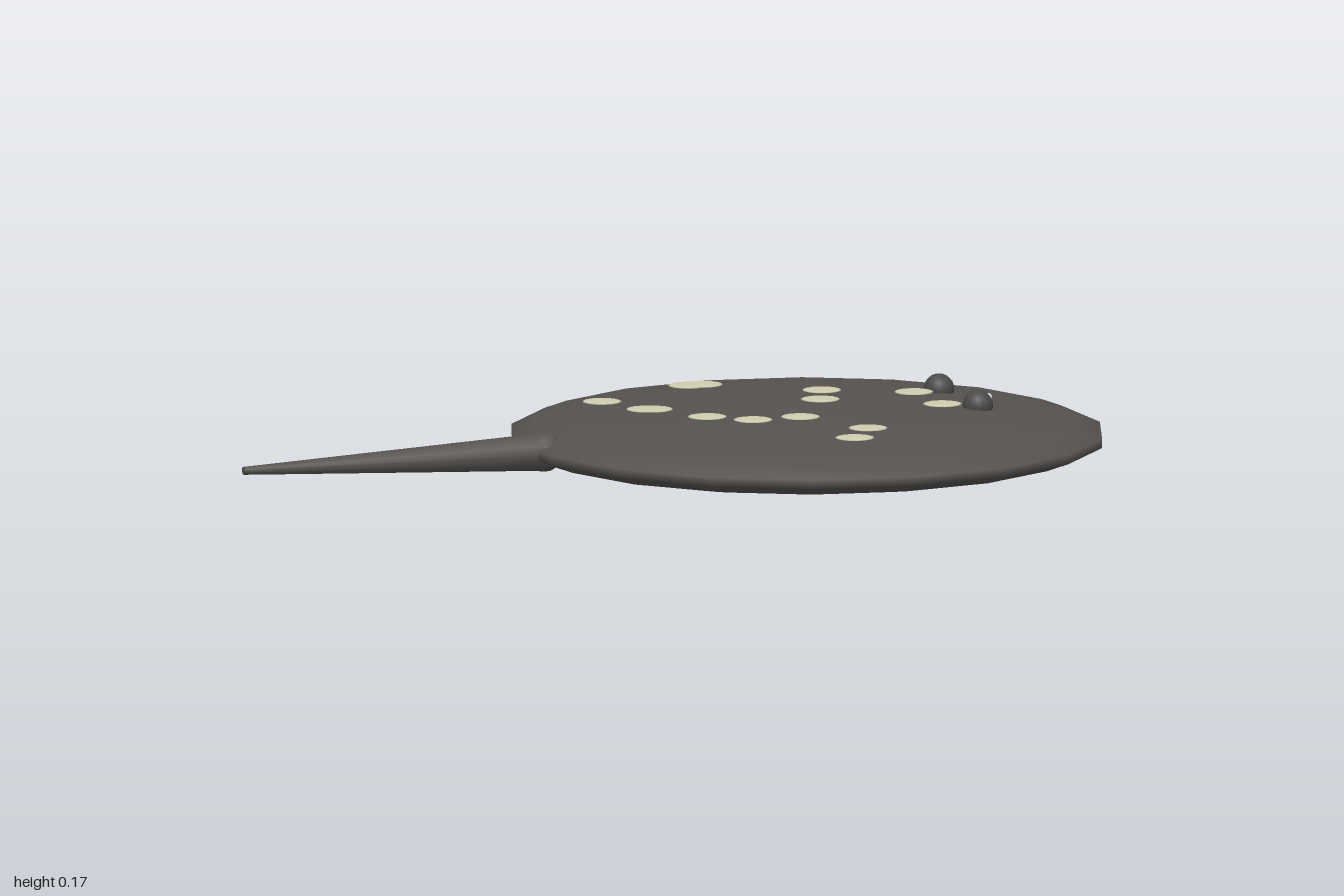
import * as THREE from 'three';

const paint = (name, color) => {
  const material = new THREE.MeshStandardMaterial({ color });
  material.name = name;
  return material;
};

export function createModel() {
  const skin = paint('dark grey skin', 0x55524f);
  const eyeGrey = paint('eye grey', 0x4a4a4a);
  const cream = paint('cream spots', 0xcfccb0);
  const white = paint('white glint', 0xf4f4ee);

  const model = new THREE.Group();
  model.name = 'flatRay';
  const add = (name, geometry, material, x, y, z) => {
    const mesh = new THREE.Mesh(geometry, material);
    mesh.name = name;
    mesh.position.set(x, y, z);
    model.add(mesh);
    return mesh;
  };

  // Flattened round body, turned so a flat side faces the tail
  const body = new THREE.SphereGeometry(1, 18, 11);
  body.rotateY(Math.PI / 2).scale(0.672, 0.0735, 0.672);
  add('body', body, skin, 0.345, 0.0735, 0);

  // Tapering tail with a rounded root
  const tail = new THREE.CylinderGeometry(0.009, 0.043, 0.72, 12);
  tail.rotateZ(Math.PI / 2);
  add('tail', tail, skin, -0.64, 0.0755, 0);
  add('tailRoot', new THREE.SphereGeometry(0.045, 12, 8), skin, -0.283, 0.0755, 0);

  // Eyes with a small glint facing forwards
  const eye = new THREE.SphereGeometry(0.034, 16, 12);
  const glint = new THREE.SphereGeometry(0.01, 8, 6);
  for (const [side, z] of [['left', -0.12], ['right', 0.12]]) {
    add(side + 'Eye', eye, eyeGrey, 0.707, 0.14, z);
    add(side + 'EyeGlint', glint, white, 0.731, 0.156, z);
  }

  // Thin spots scattered over the back
  const spot = new THREE.SphereGeometry(0.044, 14, 8);
  spot.scale(1, 0.08, 1);
  const spots = [
    [0.18, -0.308], [0.217, -0.308], [-0.077, -0.173], [-0.024, -0.04], [-0.008, -0.034],
    [0.067, 0.104], [0.147, 0.18], [0.26, 0.18], [0.388, -0.027], [0.436, -0.142],
    [0.618, -0.045], [0.618, 0.131], [0.345, 0.377], [0.27, 0.489],
  ];
  spots.forEach(([x, z], i) => add('spot' + (i + 1), spot, cream, x, 0.15, z));

  return model;
}
